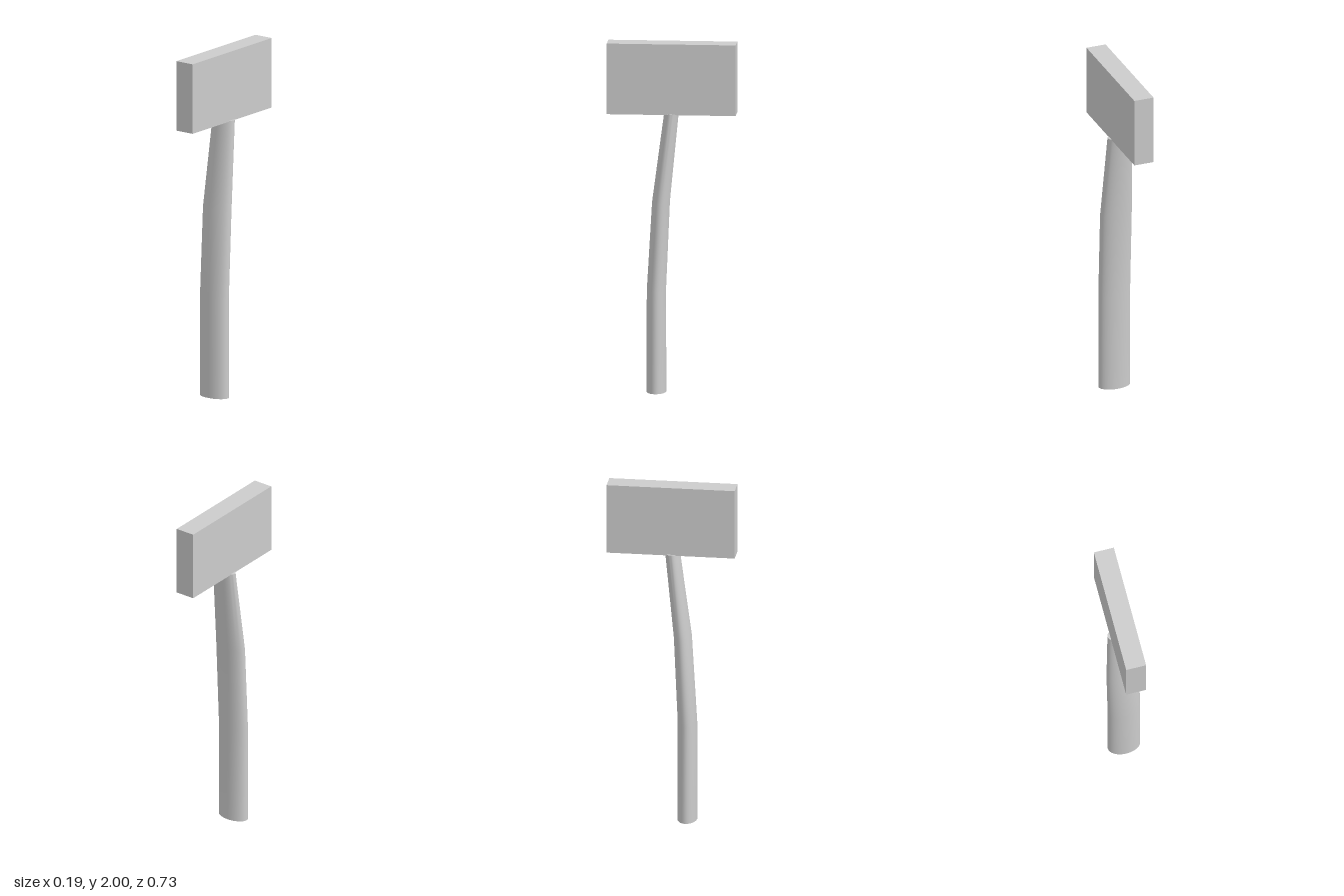
import * as THREE from 'three';
import { toCreasedNormals } from 'three/addons/utils/BufferGeometryUtils.js';

export function createModel() {
  const group = new THREE.Group();
  const material = new THREE.MeshStandardMaterial({ color: 0xcccccc });

  // Block-shaped head
  const head = new THREE.Mesh(new THREE.BoxGeometry(0.116, 0.405, 0.728), material);
  head.name = 'head';
  head.position.y = 1.7975;
  group.add(head);

  // Bent oval handle: a unit cylinder whose rings are moved to these sections
  const sections = [
    { y: 0, z: 0.088, rx: 0.094, rz: 0.056 },
    { y: 0.58, z: 0.088, rx: 0.094, rz: 0.054 },
    { y: 1.09, z: 0.062, rx: 0.094, rz: 0.05 },
    { y: 1.6, z: 0.003, rx: 0.073, rz: 0.041 },
  ];
  const last = sections.length - 1;
  const geometry = new THREE.CylinderGeometry(1, 1, 1, 32, last);
  const pos = geometry.attributes.position;
  for (let i = 0; i < pos.count; i++) {
    const s = sections[Math.round((pos.getY(i) + 0.5) * last)];
    pos.setXYZ(i, pos.getX(i) * s.rx, s.y, s.z + pos.getZ(i) * s.rz);
  }
  const handle = new THREE.Mesh(toCreasedNormals(geometry, 0.7), material);
  handle.name = 'handle';
  group.add(handle);

  return group;
}
